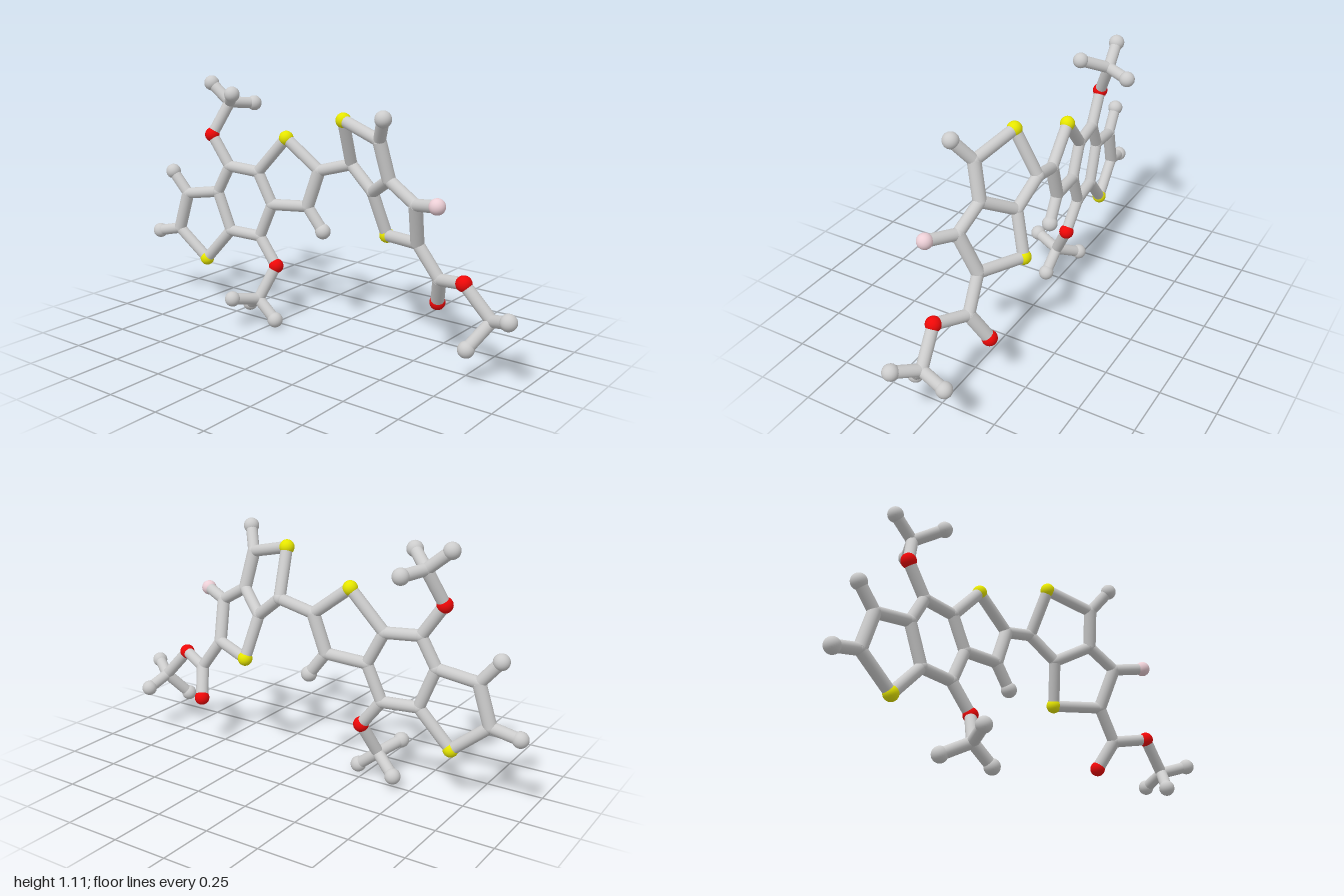
import * as THREE from 'three';

// Ball styles: radius and colour
const STYLES = {
  carbon: [0.028, 0xcccccc],
  hydrogen: [0.035, 0xcccccc],
  oxygen: [0.034, 0xee0808],
  sulfur: [0.033, 0xe6e600],
  fluorine: [0.034, 0xeccfd6],
};

// The fused three-ring plate is flat and slightly turned about the vertical
const plate = (x, y) => [x, y, -0.07 - 0.112 * x];

// Each part: atoms as name: [style, position]
const PARTS = {
  fusedRings: {
    s1: ['sulfur', plate(-0.68, 0.24)],
    a: ['carbon', plate(-0.84, 0.37)],
    ha: ['hydrogen', plate(-0.965, 0.34)],
    b: ['carbon', plate(-0.785, 0.55)],
    hb: ['hydrogen', plate(-0.87, 0.65)],
    c: ['carbon', plate(-0.605, 0.58)],
    d: ['carbon', plate(-0.535, 0.4)],
    e: ['carbon', plate(-0.535, 0.71)],
    f: ['carbon', plate(-0.375, 0.7)],
    g: ['carbon', plate(-0.3, 0.555)],
    h: ['carbon', plate(-0.37, 0.395)],
    s2: ['sulfur', plate(-0.22, 0.87)],
    i: ['carbon', plate(-0.05, 0.74)],
    j: ['carbon', plate(-0.11, 0.57)],
    hj: ['hydrogen', plate(-0.03, 0.465)],
  },
  upperMethoxy: {
    o1: ['oxygen', [-0.63, 0.85, 0]],
    m1: ['carbon', [-0.575, 1.0, -0.065]],
    m1a: ['hydrogen', [-0.675, 1.083, -0.052]],
    m1b: ['hydrogen', [-0.475, 1.053, 0.028]],
    m1c: ['hydrogen', [-0.525, 0.988, -0.18]],
  },
  lowerMethoxy: {
    o2: ['oxygen', [-0.27, 0.27, -0.025]],
    m2: ['carbon', [-0.315, 0.12, 0.05]],
    m2a: ['hydrogen', [-0.425, 0.06, -0.015]],
    m2b: ['hydrogen', [-0.215, 0.04, 0.052]],
    m2c: ['hydrogen', [-0.36, 0.145, 0.178]],
  },
  tiltedRings: {
    k: ['carbon', [0.11, 0.785, -0.085]],
    s3: ['sulfur', [0.135, 0.99, 0.01]],
    l: ['carbon', [0.355, 0.935, 0.065]],
    hl: ['hydrogen', [0.415, 1.035, 0.13]],
    m: ['carbon', [0.38, 0.77, 0.028]],
    n: ['carbon', [0.24, 0.685, -0.06]],
    o: ['carbon', [0.52, 0.69, 0.045]],
    fl: ['fluorine', [0.655, 0.715, 0.105]],
    p: ['carbon', [0.49, 0.51, -0.025]],
    s4: ['sulfur', [0.28, 0.49, -0.115]],
  },
  ester: {
    q: ['carbon', [0.59, 0.37, -0.04]],
    o3: ['oxygen', [0.545, 0.245, -0.107]],
    o4: ['oxygen', [0.74, 0.4, 0.026]],
    m3: ['carbon', [0.86, 0.265, 0.007]],
    m3a: ['hydrogen', [0.965, 0.303, 0.075]],
    m3b: ['hydrogen', [0.795, 0.157, 0.09]],
    m3c: ['hydrogen', [0.875, 0.225, -0.107]],
  },
};

// Bonds per part; '=' marks the thicker double bonds
const BONDS = {
  fusedRings: 's1-a a-ha a=b b-hb b-c c-d d-s1 c-e e-f f-g g-h h-d f-s2 s2-i i=j j-g j-hj i-k',
  upperMethoxy: 'e-o1 o1-m1 m1-m1a m1-m1b m1-m1c',
  lowerMethoxy: 'h-o2 o2-m2 m2-m2a m2-m2b m2-m2c',
  tiltedRings: 'k-s3 s3-l l-hl l=m m-n n-k m-o o-fl o=p p-s4 s4-n p-q',
  ester: 'q=o3 q-o4 o4-m3 m3-m3a m3-m3b m3-m3c',
};

export function createModel() {
  const model = new THREE.Group();
  model.name = 'molecule';
  const up = new THREE.Vector3(0, 1, 0);
  const kinds = {};
  for (const [kind, [radius, color]] of Object.entries(STYLES)) {
    kinds[kind] = {
      geometry: new THREE.SphereGeometry(radius, 24, 16),
      material: new THREE.MeshStandardMaterial({ color }),
    };
  }
  const stickMaterial = kinds.carbon.material;
  const where = {};

  // Balls
  for (const [part, atoms] of Object.entries(PARTS)) {
    const group = new THREE.Group();
    group.name = part;
    model.add(group);
    for (const [id, [kind, position]] of Object.entries(atoms)) {
      const ball = new THREE.Mesh(kinds[kind].geometry, kinds[kind].material);
      ball.name = kind + 'Ball';
      ball.position.set(...position);
      where[id] = ball.position;
      group.add(ball);
    }
  }

  // Sticks between ball centres
  for (const [part, list] of Object.entries(BONDS)) {
    const group = model.getObjectByName(part);
    for (const bond of list.split(' ')) {
      const [from, to] = bond.split(/[-=]/).map((id) => where[id]);
      const radius = bond.includes('=') ? 0.029 : 0.026;
      const along = to.clone().sub(from);
      const stick = new THREE.Mesh(
        new THREE.CylinderGeometry(radius, radius, along.length(), 20), stickMaterial);
      stick.name = 'bondStick';
      stick.position.copy(from).add(to).multiplyScalar(0.5);
      stick.quaternion.setFromUnitVectors(up, along.normalize());
      group.add(stick);
    }
  }
  return model;
}
